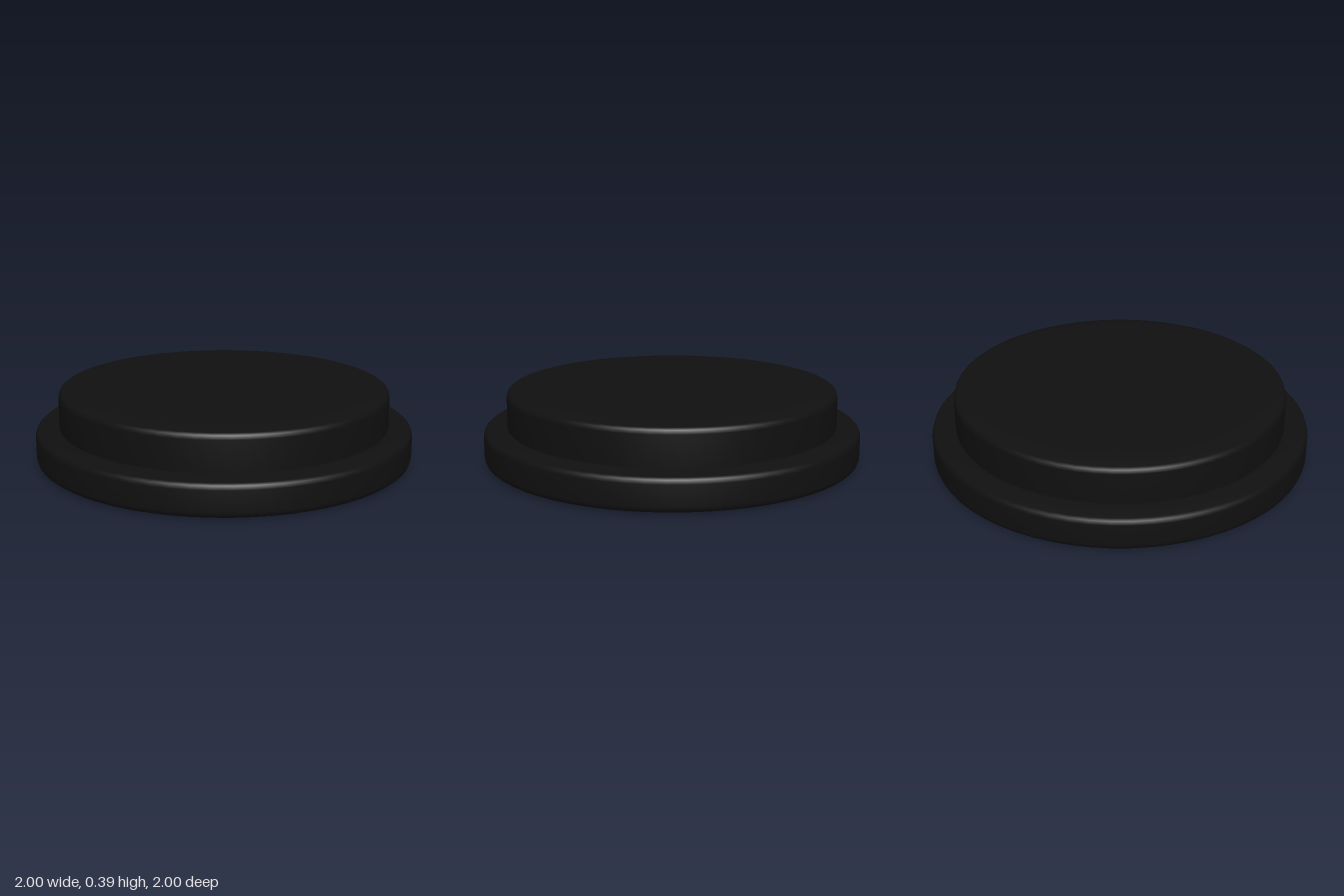
import * as THREE from 'three';

const SEGMENTS = 64;

// Round solid turned from [radius, height] points, listed bottom to top
function turned(name, points, material) {
  const profile = points.map(([r, y]) => new THREE.Vector2(r, y));
  const mesh = new THREE.Mesh(new THREE.LatheGeometry(profile, SEGMENTS), material);
  mesh.name = name;
  return mesh;
}

// Disc profile with softened rims; the top and bottom faces are nearly flat
function discProfile(radius, bottom, top) {
  return [
    [0, bottom], [radius - 0.13, bottom], [radius - 0.1, bottom + 0.002],
    [radius - 0.018, bottom + 0.01], [radius - 0.006, bottom + 0.02], [radius, bottom + 0.04],
    [radius, top - 0.04], [radius - 0.006, top - 0.02], [radius - 0.018, top - 0.01],
    [radius - 0.1, top - 0.002], [radius - 0.13, top], [0, top],
  ];
}

export function createModel() {
  const group = new THREE.Group();
  group.name = 'steppedDisc';
  const bodyMaterial = new THREE.MeshStandardMaterial({ color: 0x101010 });
  const padMaterial = new THREE.MeshStandardMaterial({ color: 0x38382a });

  // Wide base and narrower raised top
  group.add(turned('base', discProfile(1, 0.002, 0.19), bodyMaterial));
  group.add(turned('raisedTop', discProfile(0.875, 0.14, 0.39), bodyMaterial));

  // Flat round pad under the base
  const pad = new THREE.Mesh(new THREE.CircleGeometry(0.62, SEGMENTS), padMaterial);
  pad.name = 'undersidePad';
  pad.rotation.x = Math.PI / 2;
  group.add(pad);

  return group;
}
